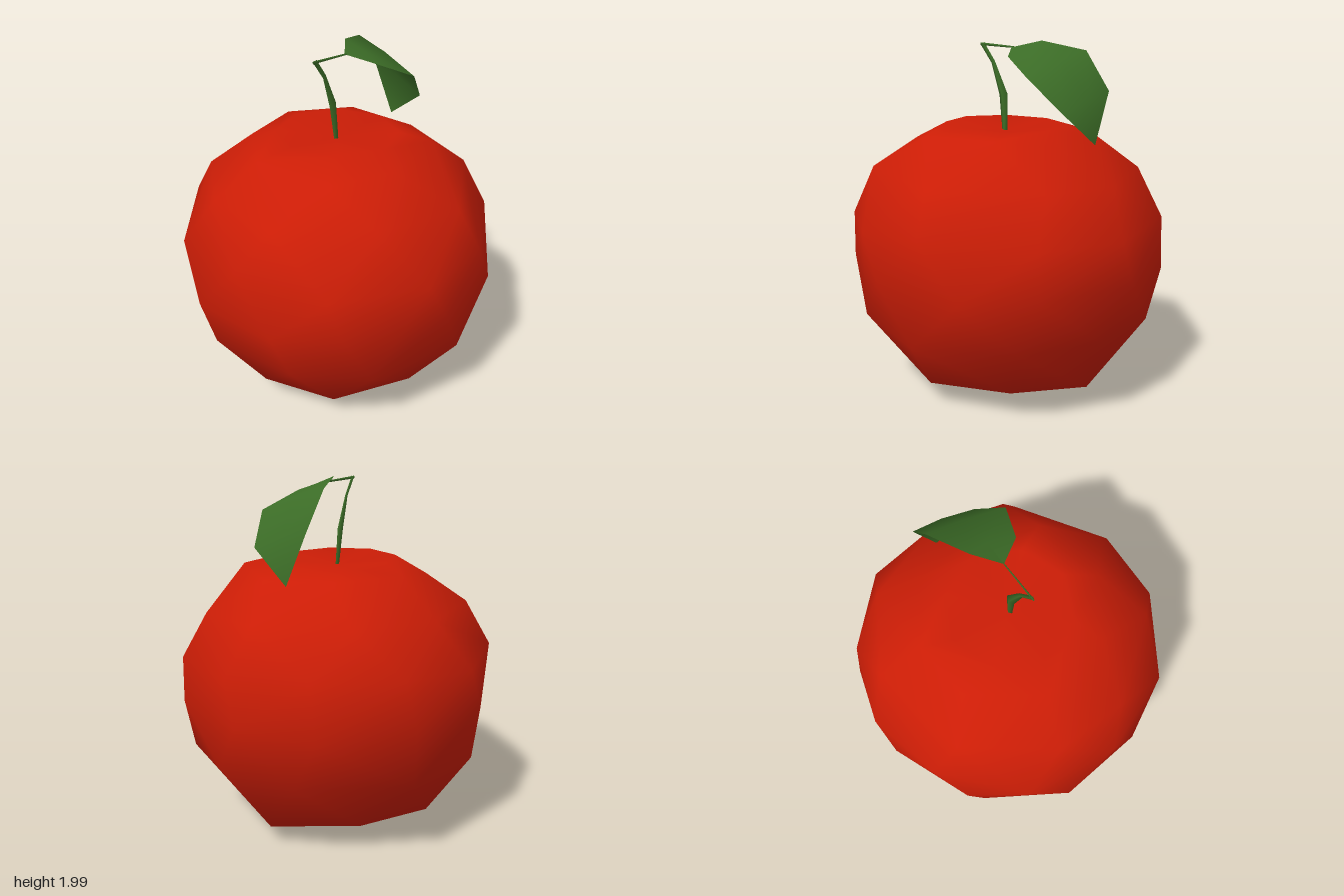
import * as THREE from 'three';
import { ConvexGeometry } from 'three/addons/geometries/ConvexGeometry.js';
import { mergeVertices } from 'three/addons/utils/BufferGeometryUtils.js';

const RED = 0xcc1d06, GREEN = 0x3c6d27;

function mesh(name, geometry, color) {
  const material = new THREE.MeshStandardMaterial({ color, side: THREE.DoubleSide });
  const m = new THREE.Mesh(geometry, material);
  m.name = name;
  return m;
}

// Coarse triangles with normals shared at the corners
function fromTriangles(points) {
  const g = mergeVertices(new THREE.BufferGeometry().setFromPoints(points));
  g.computeVertexNormals();
  return g;
}

// Triangle strips joining cross-sections that have equal point counts
function loft(sections, closed) {
  const out = [];
  const n = sections[0].length;
  for (let i = 0; i < sections.length - 1; i++) {
    for (let j = 0; j < (closed ? n : n - 1); j++) {
      const k = (j + 1) % n, [a, b] = [sections[i], sections[i + 1]];
      out.push(a[j], b[j], a[k], a[k], b[j], b[k]);
    }
  }
  return fromTriangles(out);
}

// Coarse round body with a shallow dimple on top
function appleBody() {
  let seed = 7;
  const jitter = (s) => {
    seed = (seed * 16807) % 2147483647;
    return (seed / 2147483647 - 0.5) * s;
  };
  // height, radius, sides, turn
  const rings = [
    [0.02, 0.3, 5, 0.3], [0.14, 0.61, 8, 0.1], [0.47, 0.84, 10, 0.5],
    [0.76, 0.895, 11, 0.2], [1.04, 0.885, 11, 0.5], [1.3, 0.75, 9, 0.1], [1.48, 0.51, 8, 0.4],
  ];
  const points = [];
  for (const [y, r, n, turn] of rings) {
    for (let i = 0; i < n; i++) {
      const a = ((i + turn + jitter(0.3)) / n) * Math.PI * 2;
      const rr = r + jitter(0.025);
      points.push(new THREE.Vector3(rr * Math.cos(a), y + jitter(y < 0.1 ? 0.04 : 0.06), rr * Math.sin(a)));
    }
  }
  // Rim of the dimple, a little lower on the +x side
  const rim = [];
  for (let i = 0; i < 8; i++) {
    const a = ((i + 0.2) / 8) * Math.PI * 2;
    const x = 0.34 * Math.cos(a);
    rim.push(new THREE.Vector3(x, 1.542 - 0.03 * x, 0.34 * Math.sin(a)));
  }
  const hull = new ConvexGeometry([...points, ...rim]).getAttribute('position');

  // Leave out the flat lid, then sink a fan into the opening
  const out = [];
  for (let i = 0; i < hull.count; i += 3) {
    const tri = [0, 1, 2].map((k) => new THREE.Vector3().fromBufferAttribute(hull, i + k));
    if (!tri.every((p) => p.y > 1.525)) out.push(...tri);
  }
  const pit = new THREE.Vector3(0, 1.5, 0);
  rim.forEach((p, i) => out.push(pit, rim[(i + 1) % rim.length], p));
  return fromTriangles(out);
}

// Four-sided tapering stalk; each station is x, y, z, half width
function stalk(stations) {
  const path = stations.map(([x, y, z]) => new THREE.Vector3(x, y, z));
  const depth = new THREE.Vector3(0, 0, 1);
  const sections = path.map((p, i) => {
    const dir = path[Math.min(i + 1, path.length - 1)].clone().sub(path[Math.max(i - 1, 0)]).normalize();
    const side = dir.cross(depth).normalize();
    const w = stations[i][3];
    return [[1, 0], [0, 1], [-1, 0], [0, -1]].map(([u, v]) =>
      p.clone().addScaledVector(side, u * w).addScaledVector(depth, v * w * 0.6));
  });
  return loft(sections, true);
}

// Drooping leaf: back edge, midrib and front edge at each cross-section
function leafBlade() {
  const rows = [
    [[0.05, 1.965, 0.01], [0.05, 1.965, 0.015], [0.05, 1.965, 0.02]],
    [[0.18, 2.0, -0.085], [0.19, 1.955, 0.03], [0.13, 1.92, 0.165]],
    [[0.42, 1.95, -0.16], [0.38, 1.9, 0.045], [0.33, 1.82, 0.275]],
    [[0.575, 1.74, -0.145], [0.55, 1.71, 0.02], [0.51, 1.64, 0.21]],
    [[0.57, 1.46, -0.02], [0.57, 1.46, -0.02], [0.57, 1.46, -0.02]],
  ];
  // Front edge first so that the upper side faces out
  return loft(rows.map((row) => row.map((p) => new THREE.Vector3(...p)).reverse()), false);
}

export function createModel() {
  const group = new THREE.Group();
  group.name = 'apple';
  group.add(
    mesh('body', appleBody(), RED),
    mesh('stem', stalk([
      [-0.01, 1.49, 0, 0.018], [-0.028, 1.7, -0.01, 0.028], [-0.1, 1.88, -0.01, 0.013], [-0.175, 1.98, -0.01, 0.014],
    ]), GREEN),
    mesh('leafStalk', stalk([[-0.19, 1.979, -0.012, 0.008], [0.06, 1.965, 0.014, 0.005]]), GREEN),
    mesh('leaf', leafBlade(), GREEN),
  );
  return group;
}
